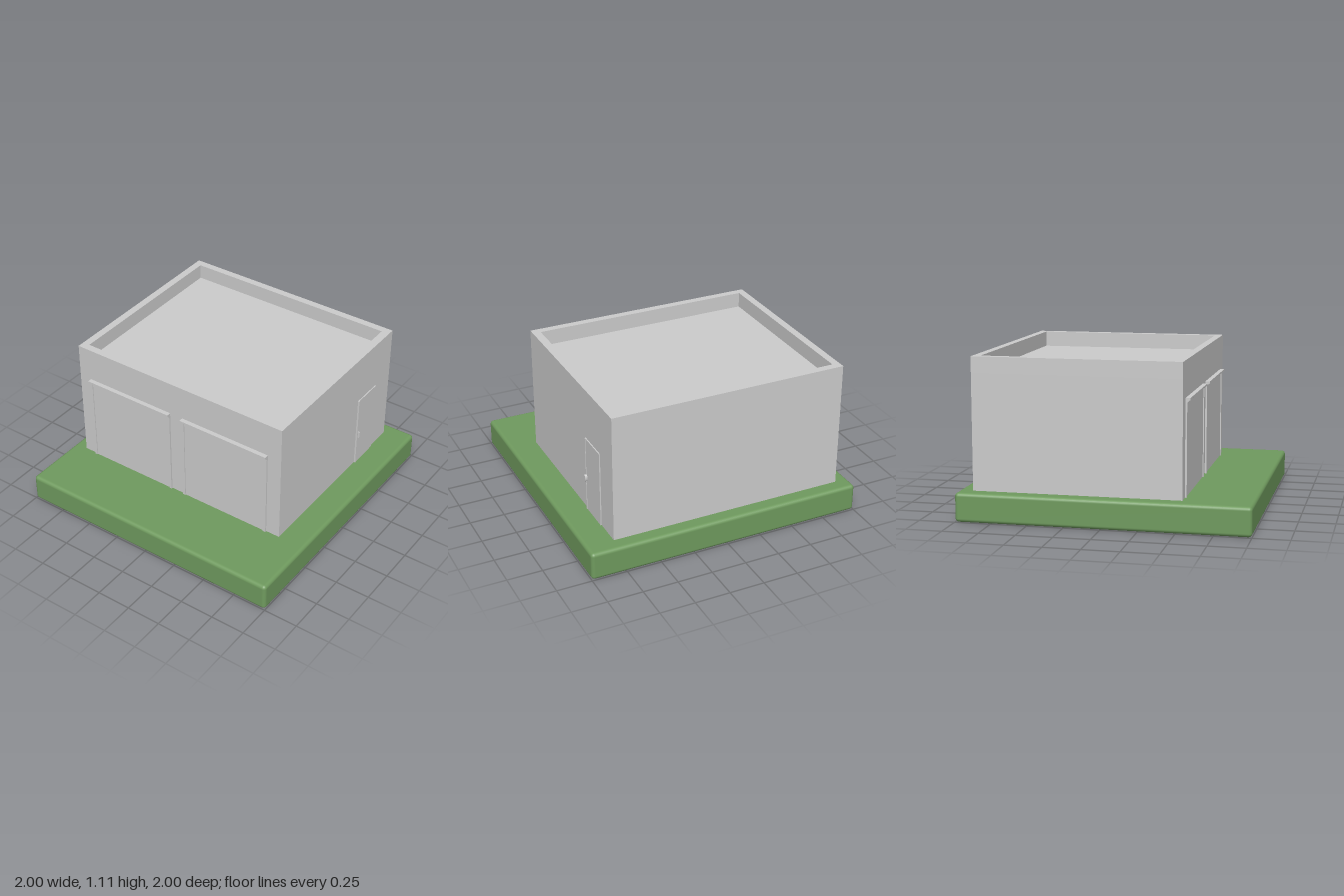
import * as THREE from 'three';
import { RoundedBoxGeometry } from 'three/addons/geometries/RoundedBoxGeometry.js';

const grey = new THREE.MeshStandardMaterial({ color: 0xcccccc });
const green = new THREE.MeshStandardMaterial({ color: 0x6f9a5e });

function part(name, geometry, parent, material = grey) {
  const mesh = new THREE.Mesh(geometry, material);
  mesh.name = name;
  parent.add(mesh);
  return mesh;
}

// Box given by its lower and upper limits on each axis
function box(name, parent, [x0, x1], [y0, y1], [z0, z1]) {
  const mesh = part(name, new THREE.BoxGeometry(x1 - x0, y1 - y0, z1 - z0), parent);
  mesh.position.set((x0 + x1) / 2, (y0 + y1) / 2, (z0 + z1) / 2);
  return mesh;
}

function rect(target, x0, x1, y0, y1) {
  target.moveTo(x0, y0);
  target.lineTo(x1, y0);
  target.lineTo(x1, y1);
  target.lineTo(x0, y1);
  target.closePath();
  return target;
}

// Garage door with jambs and a sloped-underside canopy, on the -x wall
function garageDoor(z0, z1) {
  const door = new THREE.Group();
  door.name = 'garageDoor';
  box('doorPanel', door, [-0.535, -0.52], [0.2, 0.84], [z0 + 0.02, z1 - 0.02]);
  for (const z of [z0, z1 - 0.02]) {
    box('doorJamb', door, [-0.542, -0.52], [0.2, 0.84], [z, z + 0.02]);
  }
  const profile = new THREE.Shape([
    [-0.52, 0.83], [-0.54, 0.83], [-0.562, 0.85], [-0.562, 0.863], [-0.52, 0.863],
  ].map(([x, y]) => new THREE.Vector2(x, y)).reverse());
  const canopy = part('doorCanopy',
    new THREE.ExtrudeGeometry(profile, { depth: z1 - z0, bevelEnabled: false }), door);
  canopy.position.z = z0;
  return door;
}

// Entrance door with hinge strip and handle, on the +z wall
function entranceDoor() {
  const door = new THREE.Group();
  door.name = 'entranceDoor';
  box('doorPanel', door, [0.474, 0.70], [0.2, 0.75], [0.79, 0.808]);
  box('doorEdgeStrip', door, [0.462, 0.474], [0.2, 0.75], [0.79, 0.812]);
  const grip = new THREE.Shape();
  grip.moveTo(0.472, 0.425);
  grip.lineTo(0.478, 0.425);
  grip.absellipse(0.478, 0.45, 0.012, 0.025, -Math.PI / 2, Math.PI / 2, false, 0);
  grip.lineTo(0.472, 0.475);
  const handle = part('doorHandle',
    new THREE.ExtrudeGeometry(grip, { depth: 0.025, bevelEnabled: false, curveSegments: 10 }), door);
  handle.position.z = 0.8;
  return door;
}

export function createModel() {
  const model = new THREE.Group();
  model.name = 'garage';

  // Lawn slab
  part('lawnBase', new RoundedBoxGeometry(2, 0.2, 2, 4, 0.025), model, green).position.y = 0.1;

  // Building body up to the flat roof
  box('building', model, [-0.53, 0.9], [0.195, 1.0], [-0.9, 0.8]);

  // Parapet around the roof
  const rim = rect(new THREE.Shape(), -0.53, 0.9, -0.8, 0.9);
  rim.holes.push(rect(new THREE.Path(), -0.477, 0.847, -0.742, 0.847));
  const parapet = part('parapet',
    new THREE.ExtrudeGeometry(rim, { depth: 0.11, bevelEnabled: false }), model);
  parapet.rotation.x = -Math.PI / 2;
  parapet.position.y = 1.0;

  // Doors
  model.add(garageDoor(-0.807, -0.107), garageDoor(-0.005, 0.695), entranceDoor());
  return model;
}
